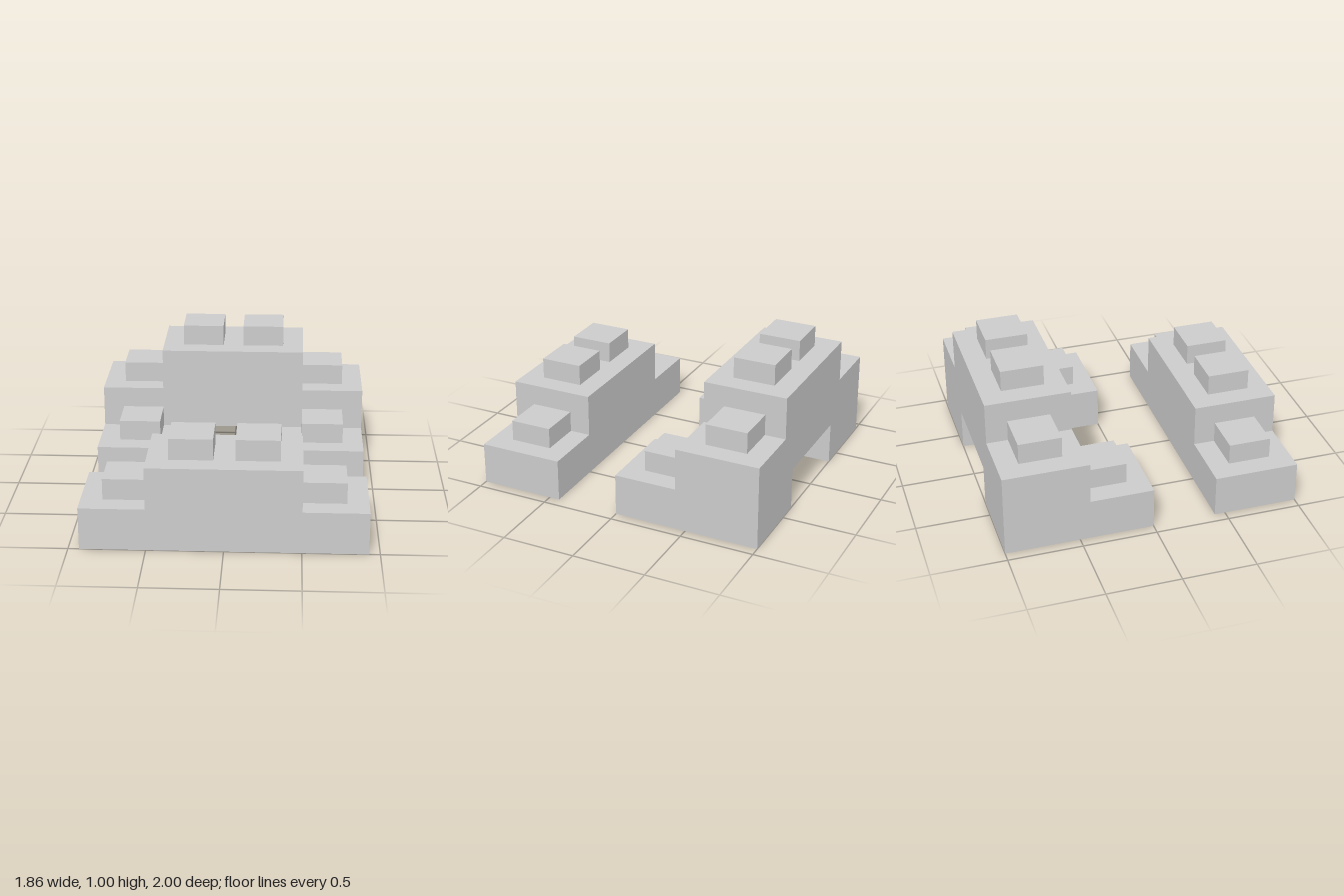
import * as THREE from 'three';

const U = 1 / 7; // brick module: every size below is a multiple of it

export function createModel() {
  const model = new THREE.Group();
  model.name = 'steppedBrickWalls';
  const material = new THREE.MeshStandardMaterial({ color: 0xcccccc, flatShading: true });

  const add = (name, geometry, x, y, z) => {
    const mesh = new THREE.Mesh(geometry, material);
    mesh.name = name;
    mesh.position.set(x * U, y * U, z * U);
    model.add(mesh);
  };

  // Box standing on height y, centred on x and z
  const block = (name, w, h, d, x, y, z) =>
    add(name, new THREE.BoxGeometry(w * U, h * U, d * U), x, y + h / 2, z);

  // Wall four modules deep, extruded from the right half of its front outline
  const wall = (name, half, z) => {
    const outline = [...half, ...half.map(([x, y]) => [-x, y]).reverse()];
    const shape = new THREE.Shape(outline.map(([x, y]) => new THREE.Vector2(x * U, y * U)));
    add(name, new THREE.ExtrudeGeometry(shape, { depth: 4 * U, bevelEnabled: false }), 0, 0, z);
  };

  // Low stepped wall at the front
  wall('frontWall', [[6.5, 0], [6.5, 2], [3.5, 2], [3.5, 4]], 3);

  // Taller stepped wall at the back, with a gateway through it
  wall('backWall', [[2.5, 2], [2.5, 0], [6.5, 0], [6.5, 4], [3.5, 4], [3.5, 6]], -7);

  for (const side of [1, -1]) {
    const label = side > 0 ? 'left' : 'right';
    const stud = (name, x, y, z) => block(label + name, 2, 1, 2, side * x, y, z);

    // Low foot reaching forward beside the gateway
    block(label + 'Foot', 4, 2, 3, side * 4.5, 0, -1.5);

    // Square studs on every step
    stud('FootStud', 4.5, 2, -2);
    stud('FrontOuterStud', 4.5, 2, 5);
    stud('FrontInnerStud', 1.5, 4, 5);
    stud('BackOuterStud', 4.5, 4, -5);
    stud('BackInnerStud', 1.5, 6, -5);
  }

  return model;
}
